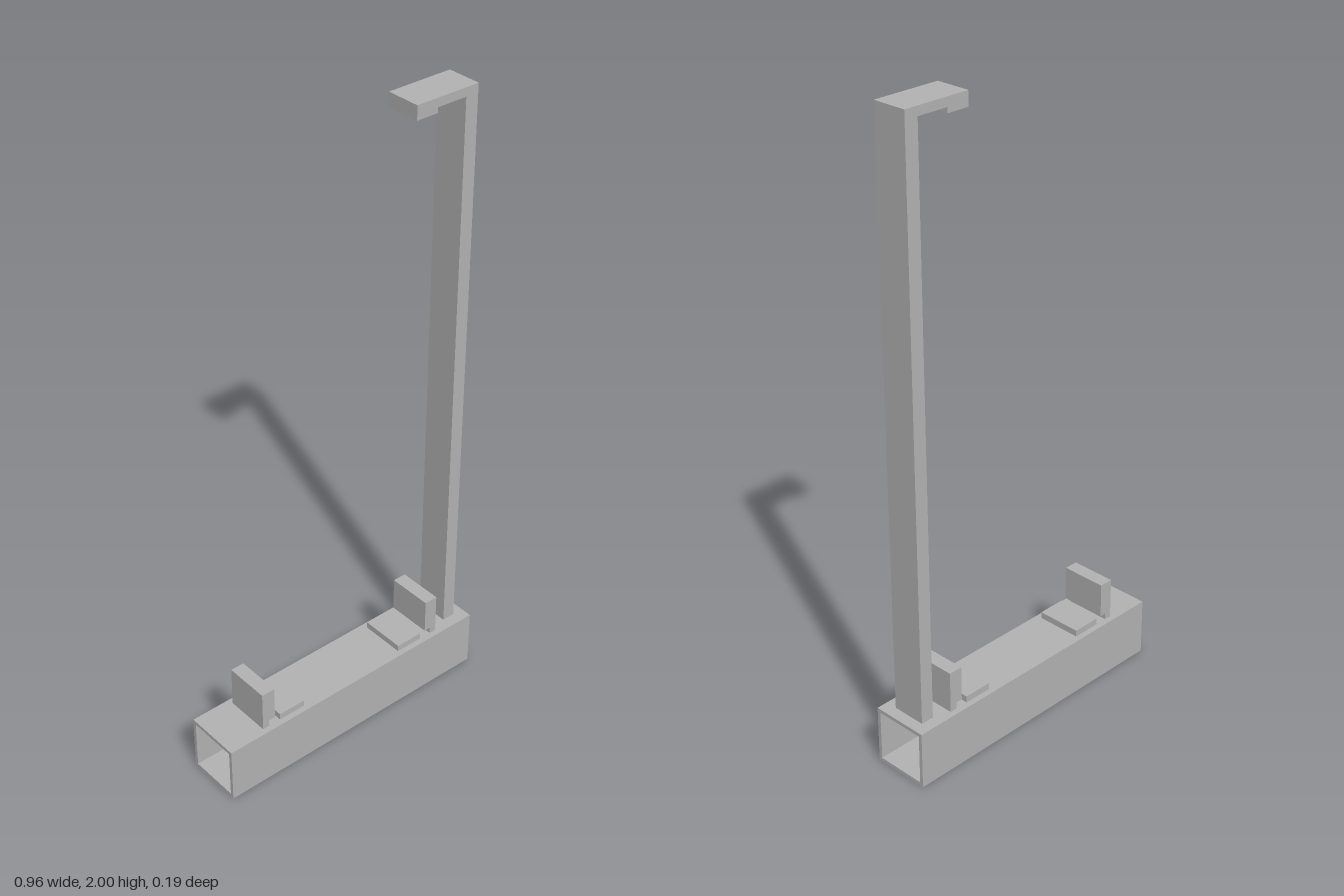
import * as THREE from 'three';

const steel = new THREE.MeshStandardMaterial({ color: 0xb2b2b2 });
steel.name = 'grey steel';

// Extrude a closed outline along z, centred on z = 0
function extrude(name, points, depth, hole) {
  const shape = new THREE.Shape(points.map(([x, y]) => new THREE.Vector2(x, y)));
  if (hole) shape.holes.push(new THREE.Path(hole.map(([x, y]) => new THREE.Vector2(x, y))));
  const geo = new THREE.ExtrudeGeometry(shape, { depth, bevelEnabled: false });
  geo.translate(0, 0, -depth / 2);
  const mesh = new THREE.Mesh(geo, steel);
  mesh.name = name;
  return mesh;
}

const square = (h) => [[-h, -h], [h, -h], [h, h], [-h, h]];

export function createModel() {
  const group = new THREE.Group();
  group.name = 'hookedStand';
  const top = 0.185;

  // Hollow square base tube, open at both ends
  const tube = extrude('baseTube', square(top / 2), 0.956, [...square(0.081)].reverse());
  tube.rotation.y = Math.PI / 2;
  tube.position.y = top / 2;
  group.add(tube);

  // Tall post with an overhanging arm and a downturned lip
  group.add(extrude('postAndHook', [
    [0.398, top], [0.441, top], [0.441, 2], [0.225, 2],
    [0.225, 1.957], [0.298, 1.957], [0.298, 1.973], [0.398, 1.973],
  ], 0.11));

  // Mirrored pads and notched upright stops on top of the tube
  for (const side of [-1, 1]) {
    const label = side > 0 ? 'left' : 'right';
    const pad = new THREE.Mesh(new THREE.BoxGeometry(0.092, 0.021, 0.147), steel);
    pad.name = label + 'Pad';
    pad.position.set(side * 0.235, top + 0.0105, 0);
    group.add(pad);

    const stop = [
      [0.322, top], [0.345, top], [0.345, 0.318],
      [0.3, 0.318], [0.3, 0.206], [0.322, 0.206],
    ].map(([x, y]) => [side * x, y]);
    group.add(extrude(label + 'Stop', stop, 0.147));
  }
  return group;
}
